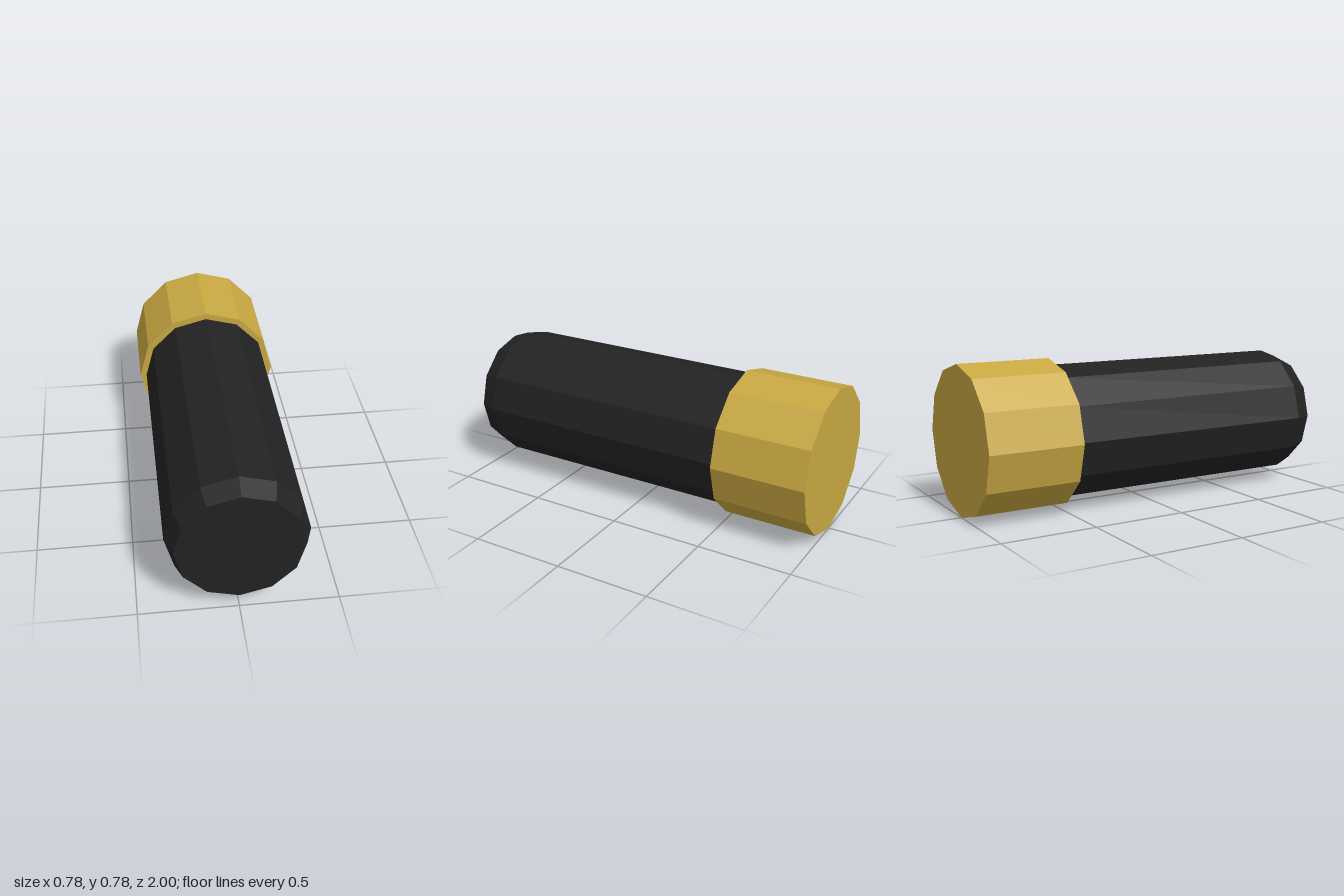
import * as THREE from 'three';

const SIDES = 12;
const CENTRE_Y = 0.39;

export function createModel() {
  const black = new THREE.MeshStandardMaterial({ color: 0x222222, flatShading: true });
  black.name = 'black';
  const gold = new THREE.MeshStandardMaterial({ color: 0xc9a842, flatShading: true });
  gold.name = 'gold';

  const model = new THREE.Group();
  model.name = 'cappedTube';

  // Twelve-sided section lying along z, from zBack to zFront
  function section(name, material, rBack, rFront, zBack, zFront, open = false) {
    const geometry = new THREE.CylinderGeometry(rFront, rBack, zFront - zBack, SIDES, 1, open);
    geometry.rotateX(Math.PI / 2);
    geometry.translate(0, CENTRE_Y, (zBack + zFront) / 2);
    const mesh = new THREE.Mesh(geometry, material);
    mesh.name = name;
    return mesh;
  }

  // Wide gold cap at the back
  model.add(section('cap', gold, 0.389, 0.389, -1, -0.5));

  // Long black body with a bevelled front end
  const body = new THREE.Group();
  body.name = 'body';
  body.add(section('barrel', black, 0.354, 0.354, -0.5, 0.9, true));
  const bevel = section('bevelledTip', black, 0.354, 0.316, 0.9, 1, true);
  const face = new THREE.Mesh(new THREE.CircleGeometry(0.316, SIDES), black);
  face.name = 'endFace';
  face.position.set(0, CENTRE_Y, 1);
  body.add(bevel, face);
  model.add(body);

  return model;
}
